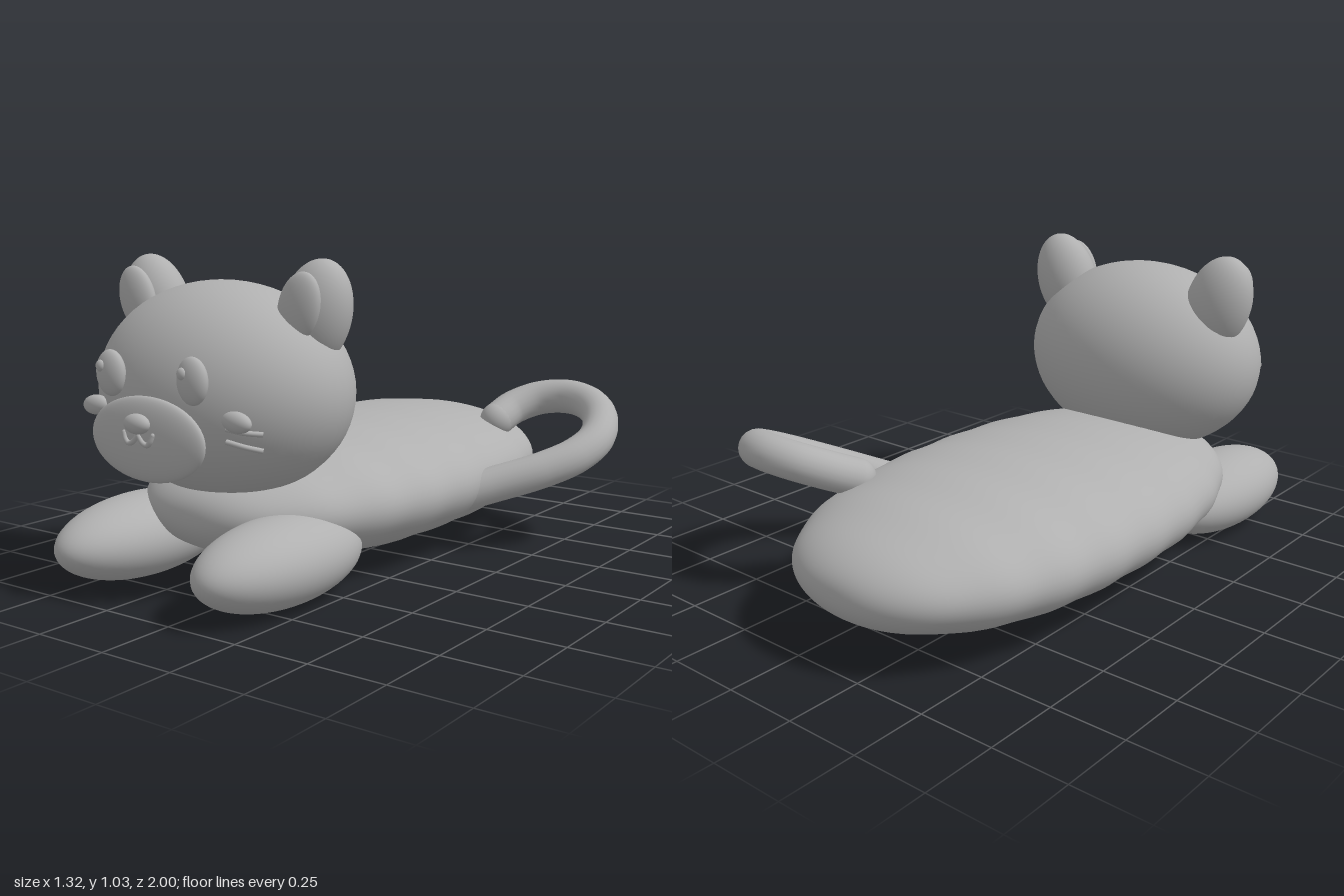
import * as THREE from 'three';

const CX = -0.155; // mirror line of the body and head

export function createModel() {
  const group = new THREE.Group();
  const grey = new THREE.MeshStandardMaterial({ color: 0xb0b0b0 });
  grey.name = 'grey';

  const add = (name, geometry) => {
    const mesh = new THREE.Mesh(geometry, grey);
    mesh.name = name;
    group.add(mesh);
    return mesh;
  };
  const ellipsoid = (name, pos, radii, tilt = 0) => {
    const mesh = add(name, new THREE.SphereGeometry(1, 48, 32));
    mesh.position.set(...pos);
    mesh.scale.set(...radii);
    mesh.rotation.z = tilt;
    return mesh;
  };
  const tube = (name, points, radius, segments) => {
    const path = new THREE.CatmullRomCurve3(points.map((p) => new THREE.Vector3(...p)));
    add(name, new THREE.TubeGeometry(path, segments, radius, 20));
    return path;
  };

  // Long, blunt body with faint ripples along its length
  const profile = [];
  for (let i = 0; i <= 96; i++) {
    const a = -Math.PI / 2 + (Math.PI * i) / 96;
    const u = Math.sin(a);
    const r = i % 96 === 0 ? 0 : Math.pow(1 - Math.pow(Math.abs(u), 2.35), 1 / 2.35);
    const z = -0.125 + 0.875 * u;
    profile.push(new THREE.Vector2(r * (1 + 0.006 * Math.cos((z + 0.08) * 30)), z));
  }
  const bodyGeometry = new THREE.LatheGeometry(profile, 64);
  bodyGeometry.rotateX(Math.PI / 2);
  bodyGeometry.scale(0.505, 0.222, 1);
  add('body', bodyGeometry).position.set(CX, 0.243, 0);

  // Head, muzzle and nose
  ellipsoid('head', [CX, 0.625, 0.568], [0.445, 0.335, 0.328]);
  ellipsoid('muzzle', [CX, 0.512, 0.908], [0.226, 0.127, 0.038]);
  ellipsoid('nose', [CX, 0.563, 0.948], [0.048, 0.03, 0.026]);

  // Mirrored parts
  for (const [side, s] of [['left', 1], ['right', -1]]) {
    const x = (d) => CX + s * d;
    ellipsoid(side + 'Ear', [x(0.324), 0.865, 0.525], [0.115, 0.17, 0.095], -s * 0.31);
    ellipsoid(side + 'InnerEar', [x(0.328), 0.89, 0.61], [0.072, 0.108, 0.036], -s * 0.31);
    ellipsoid(side + 'Eye', [x(0.164), 0.693, 0.888], [0.055, 0.07, 0.03]);
    ellipsoid(side + 'EyeGlint', [x(0.164) - 0.017, 0.715, 0.913], [0.017, 0.018, 0.012]);
    ellipsoid(side + 'Cheek', [x(0.284), 0.58, 0.84], [0.052, 0.031, 0.026], -s * 0.08);
    ellipsoid(side + 'FrontPaw', [x(0.285), 0.137, 0.655], [0.172, 0.135, 0.345]);

    // Whiskers
    tube(side + 'UpperWhisker', [[x(0.24), 0.556, 0.835], [x(0.29), 0.548, 0.82], [x(0.335), 0.542, 0.785]], 0.008, 12);
    tube(side + 'LowerWhisker', [[x(0.24), 0.519, 0.835], [x(0.29), 0.506, 0.815], [x(0.33), 0.493, 0.78]], 0.008, 12);

    // Half of the smile
    const smile = tube(side + 'Smile',
      [[x(0), 0.53, 0.944], [x(0.02), 0.509, 0.946], [x(0.038), 0.504, 0.946], [x(0.05), 0.515, 0.945], [x(0.058), 0.533, 0.942]], 0.008, 24);
    const end = smile.getPoint(1);
    ellipsoid(side + 'SmileEnd', end.toArray(), [0.008, 0.008, 0.008]);
  }

  // Tail curling in a tilted plane that rises towards the back
  const tailPlan = [[0.25, -0.15], [0.35, -0.225], [0.49, -0.335], [0.57, -0.43], [0.597, -0.53], [0.555, -0.65],
    [0.47, -0.725], [0.37, -0.75], [0.27, -0.725], [0.2, -0.655], [0.175, -0.575]];
  const tailPoints = tailPlan.map(([x, z]) => [x, 0.235 + 0.47 * (-z - 0.23), z]);
  const tail = tube('tail', tailPoints, 0.063, 96);
  ellipsoid('tailTip', tail.getPoint(1).toArray(), [0.063, 0.063, 0.063]);

  return group;
}
